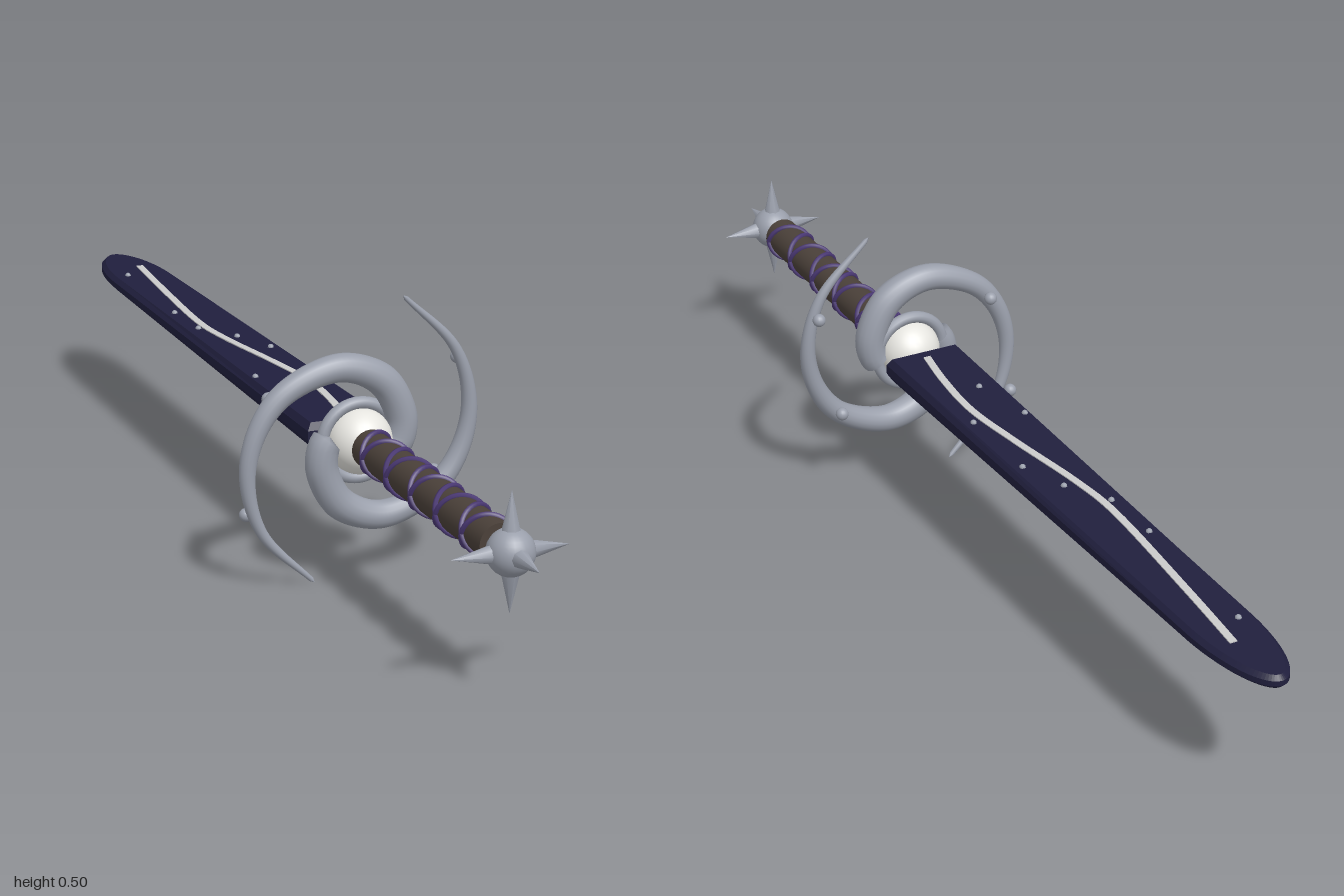
import * as THREE from 'three';

const AXIS_Y = 0.255;
const mat = (name, color) => {
  const m = new THREE.MeshStandardMaterial({ color });
  m.name = name;
  return m;
};

export function createModel() {
  const silver = mat('silver', 0x9a9fab);
  const navy = mat('navy', 0x201f3d);
  const pearl = mat('pearl', 0xe6e5e0);
  const leather = mat('leather', 0x4a4039);
  const purple = mat('purple', 0x4a3874);
  const pale = mat('pale grey', 0xcacaca);

  const model = new THREE.Group();
  model.name = 'sword';
  const body = new THREE.Group();
  body.name = 'swordBody';
  body.position.y = AXIS_Y;
  model.add(body);

  const add = (name, geo, material, x = 0, y = 0, z = 0, parent = body) => {
    const mesh = new THREE.Mesh(geo, material);
    mesh.name = name;
    mesh.position.set(x, y, z);
    parent.add(mesh);
    return mesh;
  };

  // Blade half thickness tapers from the guard (z = 0.24) to the tip (z = -1)
  const halfThick = (z) => 0.012 + 0.01 * (z + 1) / 1.24;

  // Lay a unit-thick slab along z and fit it to the blade's taper
  const fitToBlade = (geo, extra) => {
    geo.rotateX(-Math.PI / 2);
    const p = geo.attributes.position;
    for (let i = 0; i < p.count; i++) {
      p.setY(i, p.getY(i) * 2 * (halfThick(p.getZ(i)) + extra));
    }
    geo.computeVertexNormals();
    return geo;
  };

  // Blade outline: shape y runs towards -z
  const outline = new THREE.Shape();
  outline.moveTo(-0.073, -0.24);
  outline.lineTo(0.073, -0.24);
  outline.lineTo(0.062, 0.8);
  outline.absellipse(0, 0.8, 0.062, 0.2, 0, Math.PI, false);
  outline.closePath();
  const bladeGeo = new THREE.ExtrudeGeometry(outline, {
    depth: 0.4, bevelThickness: 0.3, bevelSize: 0.008, bevelOffset: -0.008, bevelSegments: 1, curveSegments: 24,
  });
  bladeGeo.translate(0, 0, -0.2);
  add('blade', fitToBlade(bladeGeo, 0), navy);

  // Wavy inlay, showing on both faces
  const wave = new THREE.SplineCurve([
    [0.005, -0.21], [0.02, -0.11], [0.027, 0.01], [0.011, 0.15], [-0.014, 0.32],
    [-0.02, 0.45], [0, 0.71], [0.016, 0.88],
  ].map(([x, y]) => new THREE.Vector2(x, y)));
  const wavePts = wave.getSpacedPoints(50);
  const side = (w) => wavePts.map((p) => new THREE.Vector2(p.x + w, p.y));
  const inlayShape = new THREE.Shape([...side(0.007), ...side(-0.007).reverse()]);
  const inlayGeo = new THREE.ExtrudeGeometry(inlayShape, { depth: 1, bevelEnabled: false });
  inlayGeo.translate(0, 0, -0.5);
  add('waveInlay', fitToBlade(inlayGeo, 0.002), pale);

  // Small specks on both faces
  const speckGeo = new THREE.SphereGeometry(0.006, 8, 6);
  [[-0.03, -0.82], [-0.04, -0.52], [-0.036, -0.4], [0.012, -0.32],
    [0.044, -0.23], [-0.053, -0.06], [0.045, -0.05], [-0.027, 0.065]].forEach(([x, z]) => {
    for (const s of [1, -1]) add('bladeSpeck', speckGeo, silver, x, s * halfThick(z), z);
  });

  // Guard core: pearl ball in a ring
  add('guardBall', new THREE.SphereGeometry(0.058, 32, 24), pearl, 0, 0, 0.295);
  add('guardRing', new THREE.TorusGeometry(0.067, 0.011, 12, 48), silver, 0, 0, 0.29);

  // Spiral guard arms: angle in degrees, distance from axis, tube radius
  const spiral = [
    [72, 0.262, 0.004], [39, 0.231, 0.009], [12, 0.211, 0.0115], [-12, 0.192, 0.014],
    [-36, 0.172, 0.017], [-74, 0.142, 0.022], [-110, 0.113, 0.026], [-150, 0.084, 0.028],
    [-178, 0.07, 0.028], [-195, 0.06, 0.027],
  ];
  const armCurve = new THREE.CatmullRomCurve3(spiral.map(([a, r, t]) => {
    const rad = THREE.MathUtils.degToRad(a);
    return new THREE.Vector3(r * Math.cos(rad), r * Math.sin(rad), 0.288 + t * 0.55);
  }));
  const SEG = 90, SIDES = 16;
  const armGeo = new THREE.TubeGeometry(armCurve, SEG, 1, SIDES, false);
  const pos = armGeo.attributes.position;
  const v = new THREE.Vector3();
  for (let i = 0; i <= SEG; i++) {
    const c = armCurve.getPointAt(i / SEG);
    // radius grows along the arm; both ends close to a point
    const grow = 0.004 + 0.0245 * Math.min(1, i / SEG / 0.82);
    const radius = i === 0 || i === SEG ? 0 : grow;
    for (let j = 0; j <= SIDES; j++) {
      const k = i * (SIDES + 1) + j;
      v.fromBufferAttribute(pos, k).sub(c).multiplyScalar(radius).add(c);
      pos.setXYZ(k, v.x, v.y, v.z);
    }
  }
  const beadGeo = new THREE.SphereGeometry(0.012, 16, 12);
  for (let s = 0; s < 2; s++) {
    const arm = new THREE.Group();
    arm.name = 'guardArm';
    arm.rotation.z = s * Math.PI;
    body.add(arm);
    add('spiralHorn', armGeo, silver, 0, 0, 0, arm);
    add('guardBead', beadGeo, silver, 0.197, 0.12, 0.262, arm);
    add('guardBead', beadGeo, silver, 0.155, -0.083, 0.262, arm);
  }

  // Grip with two crossing cords
  const gripGeo = new THREE.CylinderGeometry(0.034, 0.034, 0.53, 24);
  gripGeo.rotateX(Math.PI / 2);
  add('grip', gripGeo, leather, 0, 0, 0.59);
  for (const dir of [1, -1]) {
    const pts = [];
    for (let i = 0; i <= 80; i++) {
      const a = dir * i / 80 * Math.PI * 10;
      pts.push(new THREE.Vector3(0.035 * Math.cos(a), 0.035 * Math.sin(a), 0.34 + 0.5 * i / 80));
    }
    add('gripCord', new THREE.TubeGeometry(new THREE.CatmullRomCurve3(pts), 160, 0.005, 6), purple);
  }

  // Star pommel
  const pommel = new THREE.Group();
  pommel.name = 'pommel';
  pommel.position.z = 0.897;
  body.add(pommel);
  add('pommelBall', new THREE.SphereGeometry(0.04, 24, 18), silver, 0, 0, 0, pommel);
  const spikeGeo = new THREE.ConeGeometry(0.017, 0.073, 8);
  spikeGeo.translate(0, 0.0665, 0);
  const up = new THREE.Vector3(0, 1, 0);
  [[1, 0, 0], [-1, 0, 0], [0, 1, 0], [0, -1, 0], [0, 0, 1]].forEach((d) => {
    const spike = add('pommelSpike', spikeGeo, silver, 0, 0, 0, pommel);
    spike.quaternion.setFromUnitVectors(up, new THREE.Vector3(...d));
  });

  return model;
}
